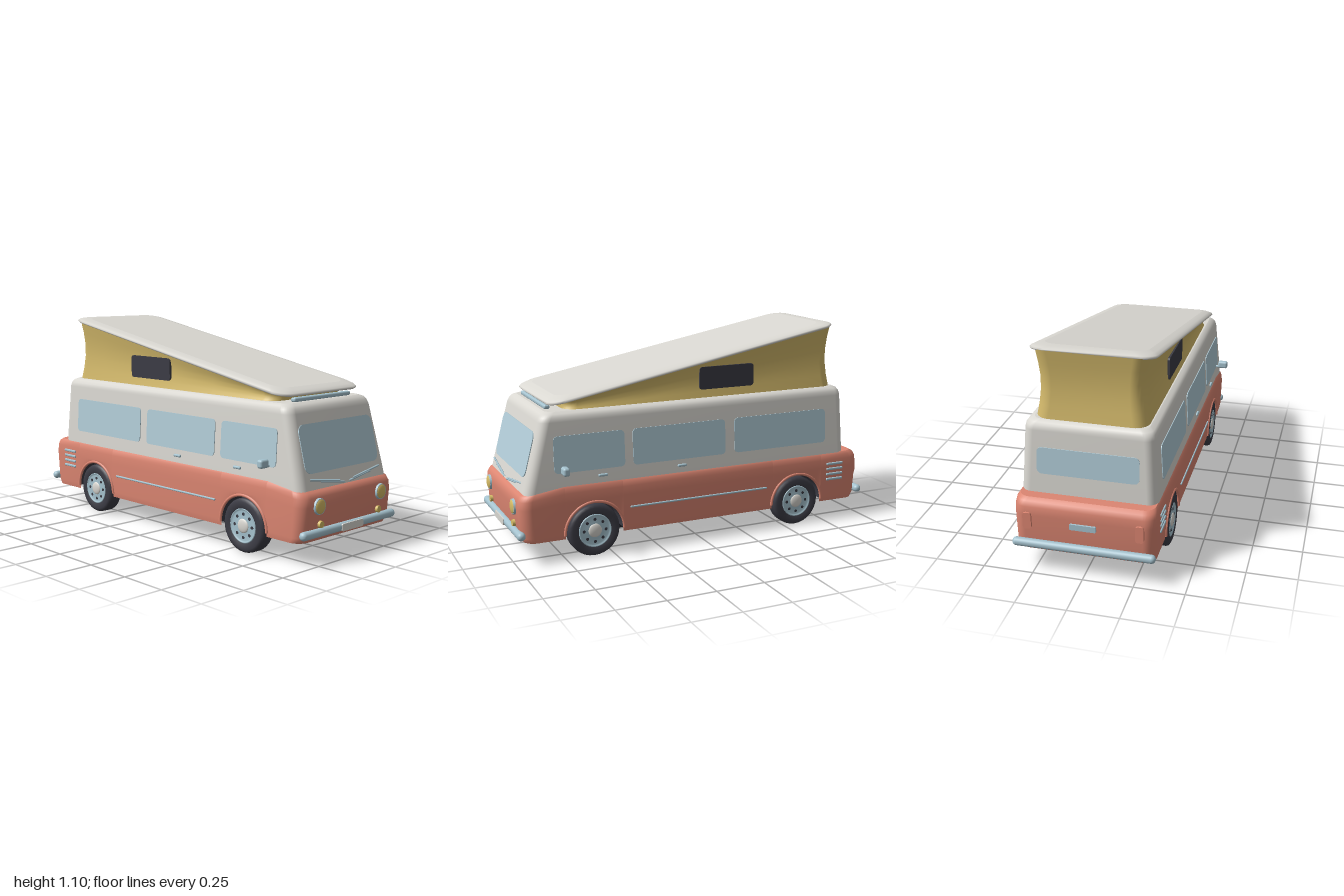
import * as THREE from 'three';
import { RoundedBoxGeometry } from 'three/addons/geometries/RoundedBoxGeometry.js';

const mat = (name, color, side = THREE.FrontSide) => {
  const m = new THREE.MeshStandardMaterial({ color, side });
  m.name = name;
  return m;
};

// Stack of rounded-rectangle rings [y, halfWidth, zFront, zBack, cornerRadius];
// zs are extra points along the sides, warp adjusts the height of each point.
function loft(rings, { zs = [], warp = (y) => y, bottom = true } = {}) {
  const pos = [], idx = [];
  const outline = ([y, w, zf, zb, r]) => {
    const pts = [];
    const arc = (cx, cz, start) => {
      for (let i = 0; i <= 8; i++) {
        const a = start + (i / 8) * Math.PI / 2;
        pts.push([cx + r * Math.cos(a), cz + r * Math.sin(a)]);
      }
    };
    zs.forEach((z) => pts.push([w, z]));
    arc(w - r, zf - r, 0);
    arc(-w + r, zf - r, Math.PI / 2);
    [...zs].reverse().forEach((z) => pts.push([-w, z]));
    arc(-w + r, zb + r, Math.PI);
    arc(w - r, zb + r, Math.PI * 1.5);
    return pts.map(([x, z]) => [x, warp(y, z), z]);
  };
  const lines = rings.map(outline), n = lines[0].length;
  lines.forEach((line) => line.forEach((p) => pos.push(...p)));
  for (let j = 0; j < lines.length - 1; j++) {
    for (let i = 0; i < n; i++) {
      const a = j * n + i, b = j * n + (i + 1) % n;
      idx.push(a, a + n, b, b, a + n, b + n);
    }
  }
  const cap = (line, y, up) => {
    const c = pos.length / 3;
    pos.push(0, y, (line[0][2] + line[n - 1][2]) / 2);
    line.forEach((p) => pos.push(...p));
    for (let i = 0; i < n; i++) {
      const a = c + 1 + i, b = c + 1 + (i + 1) % n;
      idx.push(c, up ? b : a, up ? a : b);
    }
  };
  cap(lines[lines.length - 1], warp(rings[rings.length - 1][0], 0), true);
  if (bottom) cap(lines[0], warp(rings[0][0], 0), false);
  const g = new THREE.BufferGeometry();
  g.setAttribute('position', new THREE.Float32BufferAttribute(pos, 3));
  g.setIndex(idx);
  g.computeVertexNormals();
  return g;
}

// Thin rounded panel facing +z
function panel(w, h, r, depth = 0.007) {
  const s = new THREE.Shape(), x = w / 2, y = h / 2, q = Math.PI / 2;
  s.absarc(x - r, y - r, r, 0, q);
  s.absarc(-x + r, y - r, r, q, 2 * q);
  s.absarc(-x + r, -y + r, r, 2 * q, 3 * q);
  s.absarc(x - r, -y + r, r, 3 * q, 4 * q);
  return new THREE.ExtrudeGeometry(s, { depth, bevelEnabled: false, curveSegments: 6 }).translate(0, 0, -0.003);
}

export function createModel() {
  const van = new THREE.Group();
  van.name = 'camperVan';
  const coral = mat('coralPaint', 0xdc8672), cream = mat('creamPaint', 0xdad8d2);
  const glass = mat('glass', 0xb2cdd8), chrome = mat('chrome', 0xa6c3cf);
  const canvas = mat('canvas', 0xd3b96b), amber = mat('lampYellow', 0xd6bb66);
  const rubber = mat('rubber', 0x3c3c45, THREE.DoubleSide), under = mat('underside', 0x22222a);

  const add = (name, geo, material, x = 0, y = 0, z = 0, yaw = 0, tilt = 0, parent = van) => {
    const m = new THREE.Mesh(geo, material);
    m.name = name;
    m.position.set(x, y, z);
    m.rotation.set(-tilt, yaw, 0, 'YXZ');
    parent.add(m);
    return m;
  };
  const box = (w, h, d, r) => new RoundedBoxGeometry(w, h, d, 3, r);

  // Lower body with wheel arches cut into its bottom edge
  const wheelZ = [0.6, -0.57], wheelY = 0.13, archR = 0.152;
  const zs = [];
  for (const c of [-0.57, 0.6]) {
    zs.push(c - archR - 0.001);
    for (let i = 0; i <= 20; i++) zs.push(c - archR * Math.cos((i / 20) * Math.PI));
    zs.push(c + archR + 0.001);
  }
  const bodyHeight = (y, z) => {
    for (const c of wheelZ) {
      const d = Math.abs(z - c);
      if (d <= archR + 1e-6) y = Math.max(y, wheelY + Math.sqrt(Math.max(0, archR * archR - d * d)));
    }
    return y - 0.027 * THREE.MathUtils.smoothstep(z, 0.76, 0.97) * (y - 0.11) / 0.27;
  };
  add('lowerBody', loft([
    [0.11, 0.341, 0.955, -0.952, 0.06], [0.14, 0.346, 0.972, -0.963, 0.06],
    [0.3, 0.349, 0.982, -0.972, 0.06], [0.345, 0.347, 0.979, -0.97, 0.06],
    [0.37, 0.343, 0.966, -0.957, 0.06], [0.382, 0.333, 0.945, -0.935, 0.055],
  ], { zs, warp: bodyHeight, bottom: false }), coral);

  // Floor with notches for the wheels
  const half = [[0.28, 0.955], [0.341, 0.894], [0.341, 0.752], [0.25, 0.752], [0.25, 0.448], [0.341, 0.448],
    [0.341, -0.418], [0.25, -0.418], [0.25, -0.722], [0.341, -0.722], [0.341, -0.89], [0.28, -0.952]];
  const floorPts = [...half, ...half.map(([x, z]) => [-x, z]).reverse()].map((p) => new THREE.Vector2(...p));
  add('floor', new THREE.ShapeGeometry(new THREE.Shape(floorPts)), coral, 0, 0.11, 0, 0, -Math.PI / 2);
  add('chassis', new THREE.BoxGeometry(0.46, 0.03, 1.44), under, 0, 0.104, 0);
  for (const z of [-0.67, 0.67]) add('crossMember', new THREE.BoxGeometry(0.46, 0.012, 0.02), under, 0, 0.088, z);

  // Cabin
  add('cabin', loft([
    [0.33, 0.338, 0.957, -0.885, 0.05], [0.4, 0.335, 0.94, -0.882, 0.05], [0.7, 0.317, 0.862, -0.868, 0.05],
    [0.722, 0.312, 0.852, -0.863, 0.05], [0.737, 0.302, 0.84, -0.853, 0.05], [0.746, 0.28, 0.818, -0.831, 0.045],
  ]), cream);
  add('windshield', panel(0.55, 0.232, 0.04), glass, 0, 0.538, 0.904, 0, Math.atan(0.26));
  add('rearWindow', panel(0.5, 0.135, 0.025), glass, 0, 0.55, -0.875, Math.PI, 0.047);

  // Raised roof and canvas
  const slope = 0.19;
  const roofUnder = (z) => 0.775 + (0.79 - z) * slope;
  add('canvasWall', loft([0, 0.2, 0.4, 0.6, 0.8, 1].map((v) => {
    const pinch = 0.018 * Math.sin(Math.PI * v);
    return [v, 0.275 - pinch, 0.72, -0.83 + pinch, 0.07];
  }), {
    zs: [-0.6, -0.3, 0, 0.3, 0.55], bottom: false,
    warp: (v, z) => THREE.MathUtils.lerp(0.74, roofUnder(z) + 0.004, v),
  }), canvas);
  add('roofLid', loft([
    [-0.004, 0.285, 0.805, -0.805, 0.07], [0, 0.3, 0.823, -0.823, 0.08], [0.007, 0.305, 0.828, -0.828, 0.08],
    [0.014, 0.3, 0.822, -0.822, 0.08], [0.022, 0.283, 0.8, -0.8, 0.08], [0.027, 0.25, 0.765, -0.765, 0.075],
  ]), cream, 0, roofUnder(-0.01), -0.01, 0, -Math.atan(slope));
  add('roofHinge', box(0.42, 0.022, 0.03, 0.009), chrome, 0, 0.756, 0.79);

  // Bumpers, plates
  for (const s of [1, -1]) {
    add(s > 0 ? 'frontBumper' : 'rearBumper', box(0.706, 0.042, 0.042, 0.02), chrome, 0, 0.153, s * 0.976);
  }
  add('frontPlate', panel(0.16, 0.036, 0.008), cream, 0, 0.153, 0.996);
  add('rearPlate', panel(0.13, 0.03, 0.006, 0.012), chrome, 0, 0.27, -0.972, Math.PI);

  // Wheel geometry, axle along y
  const lathe = (pts) => new THREE.LatheGeometry(pts.map((p) => new THREE.Vector2(...p)), 32);
  const tyre = lathe([[0, -0.03], [0.08, -0.03], [0.085, -0.042], [0.118, -0.042], [0.131, -0.035], [0.135, -0.025],
    [0.135, 0.025], [0.131, 0.035], [0.118, 0.042], [0.088, 0.042], [0.082, 0.03]]);
  const rim = lathe([[0.088, 0.03], [0.086, 0.041], [0.08, 0.042], [0.074, 0.034], [0.045, 0.039], [0, 0.039]]);
  const hub = new THREE.SphereGeometry(0.036, 20, 8, 0, Math.PI * 2, 0, Math.PI / 2).scale(1, 0.3, 1);
  const hole = new THREE.CylinderGeometry(0.008, 0.008, 0.006, 10);

  for (const s of [1, -1]) {
    const yaw = s * Math.PI / 2;
    for (const z of wheelZ) {
      // Wheel, wheel well and arch lip
      const wheel = new THREE.Group();
      wheel.name = 'wheel';
      wheel.position.set(s * 0.306, 0.135, z);
      wheel.rotation.z = -yaw;
      van.add(wheel);
      add('tyre', tyre, rubber, 0, 0, 0, 0, 0, wheel);
      add('rim', rim, chrome, 0, 0, 0, 0, 0, wheel);
      add('hubCap', hub, cream, 0, 0.038, 0, 0, 0, wheel);
      for (let i = 0; i < 8; i++) {
        const a = (i / 8) * Math.PI * 2;
        add('rimHole', hole, rubber, 0.058 * Math.cos(a), 0.036, 0.058 * Math.sin(a), 0, 0, wheel);
      }
      const well = add('wheelWell', new THREE.CylinderGeometry(archR, archR, 0.095, 24, 1, true, Math.PI, Math.PI),
        rubber, s * 0.2975, wheelY, z);
      well.rotation.z = -Math.PI / 2;
      add('wellWall', new THREE.CircleGeometry(archR, 24, 0, Math.PI), rubber, s * 0.25, wheelY, z, yaw);
      add('archLip', new THREE.TorusGeometry(0.157, 0.008, 8, 28, Math.PI), coral, s * 0.346, wheelY, z, yaw);
    }
    // Side windows [centre z, length]
    for (const [z, len] of [[0.615, 0.37], [0.125, 0.52], [-0.47, 0.56]]) {
      add('sideWindow', panel(len, 0.185, 0.022), glass, s * 0.3266, 0.54, z, yaw, 0.06);
    }
    add('canvasWindow', panel(0.315, 0.118, 0.015, 0.012), rubber, s * 0.262, 0.847, -0.172, yaw);
    // Side trim
    for (const z of [0.55, 0.117]) add('doorHandle', box(0.014, 0.014, 0.05, 0.006), chrome, s * 0.338, 0.416, z);
    add('sideTrim', box(0.01, 0.01, 0.79, 0.004), chrome, s * 0.35, 0.235, 0.015);
    for (let i = 0; i < 4; i++) add('ventSlat', box(0.012, 0.014, 0.105, 0.005), chrome, s * 0.349, 0.235 + i * 0.029, -0.81);
    // Mirror
    add('mirror', box(0.056, 0.042, 0.034, 0.012), chrome, s * 0.376, 0.468, 0.757);
    add('mirrorArm', box(0.05, 0.012, 0.012, 0.005), chrome, s * 0.345, 0.453, 0.757);
    // Lamps
    const disc = (r, h) => new THREE.CylinderGeometry(r * 0.9, r, h, 28).rotateX(Math.PI / 2);
    add('headlampRing', disc(0.042, 0.022), chrome, s * 0.233, 0.28, 0.98);
    add('headlamp', new THREE.SphereGeometry(0.036, 24, 12).scale(1, 1, 0.3), amber, s * 0.233, 0.28, 0.988);
    add('indicator', disc(0.018, 0.02), amber, s * 0.22, 0.192, 0.98);
    add('tailLamp', panel(0.042, 0.085, 0.015, 0.014), coral, s * 0.275, 0.275, -0.971, Math.PI);
    // Wiper
    const rod = (a, b, r) => new THREE.TubeGeometry(
      new THREE.LineCurve3(new THREE.Vector3(s * a[0], a[1], a[2]), new THREE.Vector3(s * b[0], b[1], b[2])), 1, r, 8);
    add('wiperArm', rod([0.02, 0.362, 0.956], [0.19, 0.386, 0.95], 0.005), chrome);
    add('wiperBlade', rod([0.05, 0.372, 0.954], [0.262, 0.402, 0.946], 0.005), chrome);
  }
  return van;
}
